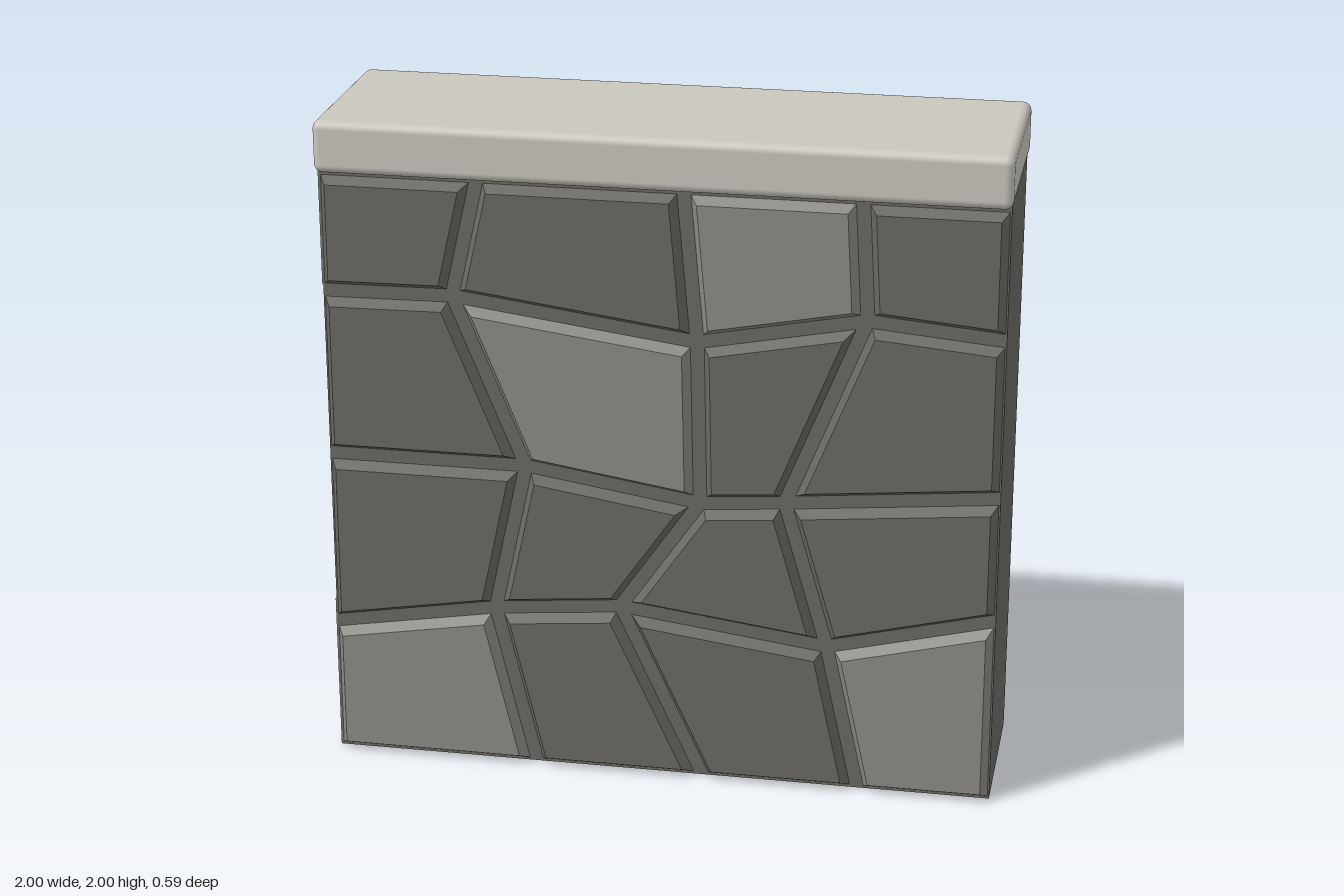
import * as THREE from 'three';
import { RoundedBoxGeometry } from 'three/addons/geometries/RoundedBoxGeometry.js';

const mat = (name, color) => Object.assign(new THREE.MeshStandardMaterial({ color }), { name });

// Joint grids, seen facing each side: rows from top to bottom, [x, y]
const FRONT = [
  [[-1, 1.84], [-0.53, 1.84], [0.07, 1.84], [0.58, 1.84], [1, 1.84]],
  [[-1, 1.48], [-0.61, 1.485], [0.11, 1.39], [0.6, 1.485], [1, 1.45]],
  [[-1, 0.97], [-0.4, 0.97], [0.12, 0.89], [0.37, 0.91], [1, 0.97]],
  [[-1, 0.42], [-0.5, 0.505], [-0.12, 0.54], [0.5, 0.46], [1, 0.585]],
  [[-1, 0], [-0.38, 0], [0.13, 0], [0.6, 0], [1, 0]],
];
const BACK = [
  [[-1, 1.84], [-0.47, 1.84], [0.04, 1.84], [0.44, 1.84], [1, 1.84]],
  [[-1, 1.29], [-0.57, 1.47], [0.04, 1.38], [0.52, 1.41], [1, 1.45]],
  [[-1, 0.93], [-0.49, 1.0], [0.01, 0.8], [0.59, 0.85], [1, 0.91]],
  [[-1, 0.54], [-0.47, 0.42], [0.04, 0.39], [0.58, 0.31], [1, 0.43]],
  [[-1, 0], [-0.42, 0], [-0.03, 0], [0.59, 0], [1, 0]],
];
// Stone tones: d dark, m middle, l light
const FRONT_TONES = ['ddld', 'dldd', 'dddd', 'lddl'];
const BACK_TONES = ['mmdd', 'ddld', 'dddd', 'dddd'];

// Move each edge of a counter-clockwise polygon inwards by its own distance
function inset(poly, dist) {
  const n = poly.length;
  const lines = poly.map(([x, y], i) => {
    const [x2, y2] = poly[(i + 1) % n];
    const len = Math.hypot(x2 - x, y2 - y);
    const nx = -(y2 - y) / len, ny = (x2 - x) / len;
    return [nx, ny, nx * x + ny * y + dist[i]];
  });
  return lines.map(([a2, b2, c2], i) => {
    const [a1, b1, c1] = lines[(i + n - 1) % n];
    const det = a1 * b2 - a2 * b1;
    return [(c1 * b2 - c2 * b1) / det, (a1 * c2 - a2 * c1) / det];
  });
}

// Flat-faced geometry from a list of convex faces
function faces(list) {
  const pos = [];
  for (const f of list) {
    for (let i = 1; i < f.length - 1; i++) pos.push(...f[0], ...f[i], ...f[i + 1]);
  }
  const g = new THREE.BufferGeometry();
  g.setAttribute('position', new THREE.Float32BufferAttribute(pos, 3));
  g.computeVertexNormals();
  return g;
}

// Stone with bevelled sides, standing proud of the wall
function stoneGeometry(corners, gaps) {
  const base = inset(corners, gaps).map(([x, y]) => [x, y, 0.248]);
  const top = inset(corners, gaps.map((g) => g + 0.021)).map(([x, y]) => [x, y, 0.286]);
  const sides = base.map((p, i) => {
    const j = (i + 1) % base.length;
    return [p, base[j], top[j], top[i]];
  });
  return faces([top, ...sides]);
}

function stoneFace(name, grid, tones, materials) {
  const group = new THREE.Group();
  group.name = name;
  for (let r = 0; r < 4; r++) {
    for (let c = 0; c < 4; c++) {
      const corners = [grid[r + 1][c], grid[r + 1][c + 1], grid[r][c + 1], grid[r][c]];
      const gap = (outer) => (outer ? 0.009 : 0.019);
      const gaps = [gap(r === 3), gap(c === 3), gap(r === 0), gap(c === 0)];
      const stone = new THREE.Mesh(stoneGeometry(corners, gaps), materials[tones[r][c]]);
      stone.name = `stoneRow${r + 1}Column${c + 1}`;
      group.add(stone);
    }
  }
  return group;
}

export function createModel() {
  const model = new THREE.Group();
  model.name = 'stoneWall';
  const dark = mat('darkStone', 0x6a6964);
  const middle = mat('middleStone', 0x7a7974);
  const light = mat('lightStone', 0x8c8b86);
  const pale = mat('capStone', 0xcac6be);
  const materials = { d: dark, m: middle, l: light };
  const add = (name, geometry, material, x, y, z) => {
    const mesh = new THREE.Mesh(geometry, material);
    mesh.name = name;
    mesh.position.set(x, y, z);
    model.add(mesh);
  };

  // Wall core
  add('core', new THREE.BoxGeometry(1.99, 1.85, 0.5), dark, 0, 0.927, 0);

  // Lighter stone ends on the right side and underneath
  add('sidePlateLower', new THREE.BoxGeometry(0.004, 0.49, 0.5), light, -0.996, 0.247, 0);
  add('sidePlateUpper', new THREE.BoxGeometry(0.004, 0.35, 0.5), light, -0.996, 1.67, 0);
  add('underPlate', faces([[[-0.995, 0, 0.25], [-0.995, 0, -0.25], [-0.59, 0, -0.25]]]), light, 0, 0, 0);

  // Stones on both faces
  model.add(stoneFace('frontStones', FRONT, FRONT_TONES, materials));
  const back = stoneFace('backStones', BACK, BACK_TONES, materials);
  back.rotation.y = Math.PI;
  model.add(back);

  // Cap slab
  add('cap', new RoundedBoxGeometry(2, 0.155, 0.59, 3, 0.025), pale, 0, 1.9225, 0);
  return model;
}
